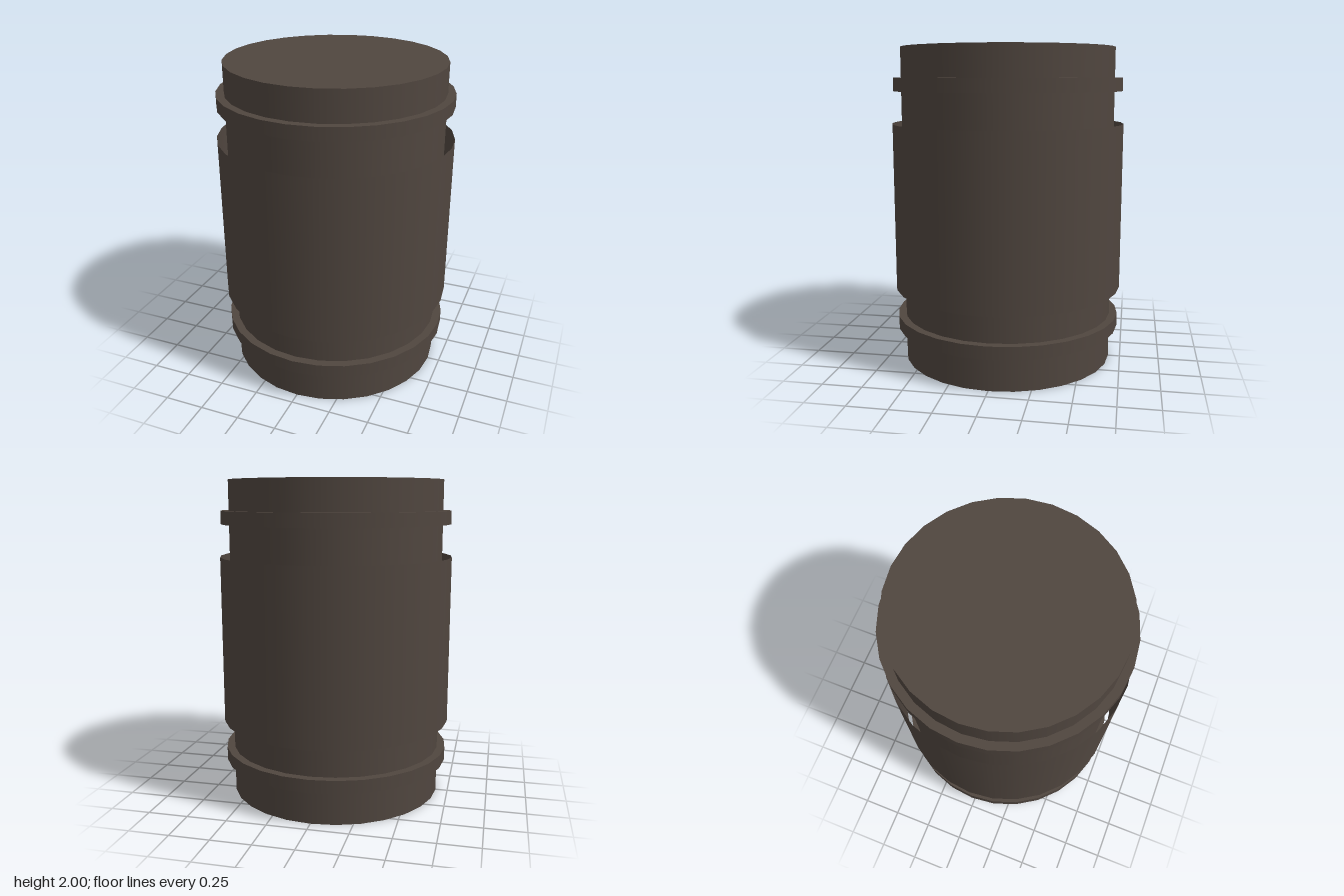
import * as THREE from 'three';

const SIDES = 28;

export function createModel() {
  const group = new THREE.Group();
  group.name = 'bandedCylinder';

  const brown = new THREE.MeshStandardMaterial({ color: 0x50463f });
  brown.name = 'darkBrown';
  brown.side = THREE.DoubleSide;

  // Upright cylinder between two heights
  const addCylinder = (name, radius, bottom, top, open = false) => {
    const geometry = new THREE.CylinderGeometry(radius, radius, top - bottom, SIDES, 1, open);
    const mesh = new THREE.Mesh(geometry, brown);
    mesh.name = name;
    mesh.position.y = (bottom + top) / 2;
    group.add(mesh);
  };

  // Solid core
  addCylinder('body', 0.674, 0, 2);

  // Thin open sleeve standing clear of the core
  addCylinder('sleeve', 0.734, 0.475, 1.528, true);

  // Raised bands near each end
  addCylinder('lowerBand', 0.724, 0.213, 0.295);
  addCylinder('upperBand', 0.724, 1.73, 1.812);

  return group;
}
